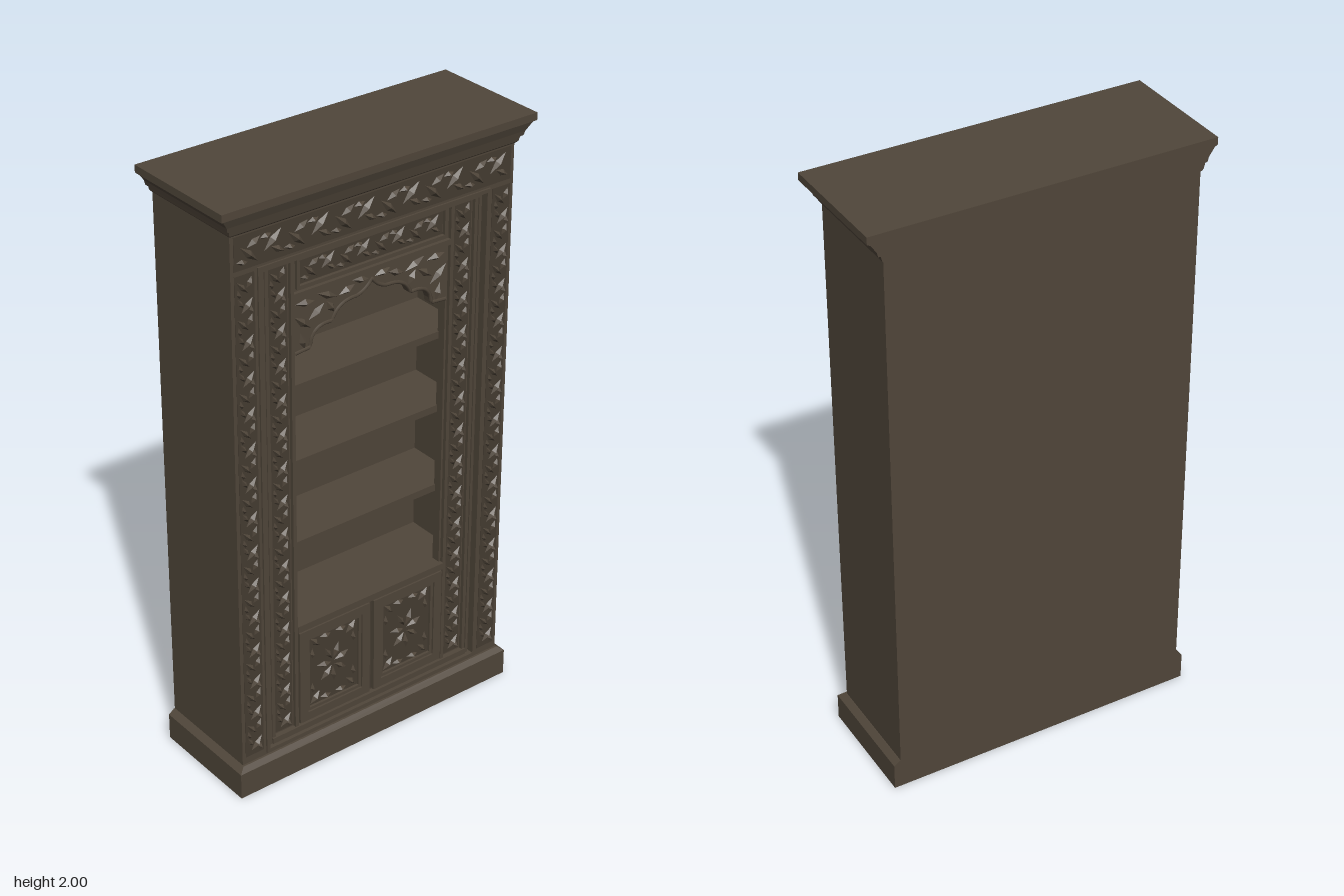
import * as THREE from 'three';
import { mergeGeometries } from 'three/addons/utils/BufferGeometryUtils.js';

const wood = new THREE.MeshStandardMaterial({ color: 0x50463a });
wood.name = 'dark wood';
const shade = new THREE.MeshStandardMaterial({ color: 0x453c31 });
shade.name = 'carved ground';

// Built with the carved face towards +z, then turned to face +x.
export function createModel() {
  const root = new THREE.Group();
  root.name = 'carvedBookcase';
  const g = new THREE.Group();
  g.name = 'cabinet';
  g.rotation.y = Math.PI / 2;
  root.add(g);

  const add = (name, geo, mat = wood) => {
    const m = new THREE.Mesh(geo, mat);
    m.name = name;
    g.add(m);
    return m;
  };
  // Box given by its limits
  const box = (name, x0, x1, y0, y1, z0, z1, mat) => {
    const b = new THREE.BoxGeometry(x1 - x0, y1 - y0, z1 - z0);
    b.translate((x0 + x1) / 2, (y0 + y1) / 2, (z0 + z1) / 2);
    return add(name, b, mat);
  };
  const rect = (x0, x1, y0, y1, C = THREE.Shape) => {
    const s = new C();
    s.moveTo(x0, y0); s.lineTo(x1, y0); s.lineTo(x1, y1); s.lineTo(x0, y1); s.closePath();
    return s;
  };
  const plate = (name, shape, z0, z1, mat) => {
    const e = new THREE.ExtrudeGeometry(shape, { depth: z1 - z0, bevelEnabled: false, curveSegments: 8 });
    e.translate(0, 0, z0);
    return add(name, e, mat);
  };
  // Rectangular border of width w
  const border = (name, x0, x1, y0, y1, w, z0, z1, mat) => {
    const s = rect(x0, x1, y0, y1);
    s.holes.push(rect(x0 + w, x1 - w, y0 + w, y1 - w, THREE.Path));
    return plate(name, s, z0, z1, mat);
  };
  // Stack of rectangles [y, half width, front], flush at the back
  const stack = (name, levels, back) => {
    const v = [];
    const quad = (a, b, c, d) => v.push(...a, ...b, ...c, ...a, ...c, ...d);
    const loops = levels.map(([y, h, f]) => [[-h, y, f], [h, y, f], [h, y, back], [-h, y, back]]);
    for (let i = 0; i + 1 < loops.length; i++) {
      const a = loops[i], b = loops[i + 1];
      for (let k = 0; k < 4; k++) { const n = (k + 1) % 4; quad(a[k], a[n], b[n], b[k]); }
    }
    quad(...loops[loops.length - 1]);
    quad(...[...loops[0]].reverse());
    const geo = new THREE.BufferGeometry();
    geo.setAttribute('position', new THREE.Float32BufferAttribute(v, 3));
    geo.computeVertexNormals();
    return add(name, geo);
  };

  // Plinth and cornice
  stack('plinth', [[0, 0.535, 0.19], [0.09, 0.535, 0.19], [0.105, 0.515, 0.175]], -0.2);
  stack('cornice', [[1.905, 0.512, 0.17], [1.912, 0.518, 0.178], [1.928, 0.522, 0.182], [1.93, 0.53, 0.186],
    [1.945, 0.534, 0.19], [1.972, 0.553, 0.2], [1.976, 0.5625, 0.207], [2, 0.5625, 0.207]], -0.207);

  // Carcass around the shelf space
  box('backBoard', -0.512, 0.512, 0.1, 1.91, -0.2, -0.09);
  for (const s of [-1, 1]) {
    const a = 0.37 * s, b = 0.512 * s;
    box('sideWall', Math.min(a, b), Math.max(a, b), 0.1, 1.91, -0.09, 0.126);
  }
  box('lowerCupboard', -0.37, 0.37, 0.1, 0.515, -0.09, 0.126);
  box('topBlock', -0.37, 0.37, 1.66, 1.91, -0.09, 0.126);
  for (const y of [0.785, 1.07, 1.325]) box('shelf', -0.37, 0.37, y - 0.012, y + 0.012, -0.09, 0.12);

  // Outer frame and the mouldings inside it
  const outer = rect(-0.512, 0.512, 0.1, 1.91);
  outer.holes.push(rect(-0.415, 0.415, 0.12, 1.78, THREE.Path));
  plate('outerFrame', outer, 0.126, 0.168);
  border('outerBead', -0.422, 0.422, 0.113, 1.787, 0.012, 0.14, 0.174);
  border('innerBead', -0.402, 0.402, 0.125, 1.77, 0.01, 0.126, 0.158);

  // Inner frame with a cusped arch opening
  const inner = rect(-0.415, 0.415, 0.11, 1.785);
  const arch = new THREE.Path();
  arch.moveTo(-0.28, 0.52);
  arch.lineTo(0.28, 0.52);
  arch.lineTo(0.28, 1.455);
  arch.lineTo(0.225, 1.46);
  arch.quadraticCurveTo(0.22, 1.53, 0.145, 1.52);
  arch.quadraticCurveTo(0.125, 1.575, 0.055, 1.572);
  arch.quadraticCurveTo(0.02, 1.58, 0, 1.61);
  arch.quadraticCurveTo(-0.02, 1.58, -0.055, 1.572);
  arch.quadraticCurveTo(-0.125, 1.575, -0.145, 1.52);
  arch.quadraticCurveTo(-0.22, 1.53, -0.225, 1.46);
  arch.lineTo(-0.28, 1.455);
  arch.closePath();
  inner.holes.push(arch);
  plate('innerFrame', inner, 0.115, 0.145);

  // Raised edge following the arch
  const edgePts = arch.getPoints(8).filter(p => p.y > 1.452).map(p => new THREE.Vector3(p.x, p.y + 0.004, 0.146));
  const edge = new THREE.CurvePath();
  for (let i = 0; i + 1 < edgePts.length; i++) edge.add(new THREE.LineCurve3(edgePts[i], edgePts[i + 1]));
  add('archEdge', new THREE.TubeGeometry(edge, 80, 0.006, 5));

  // Upright beads, rails and the panel above the arch
  for (const s of [-1, 1]) for (const x of [0.293, 0.383]) {
    box('uprightBead', s * x - 0.006, s * x + 0.006, 0.135, 1.76, 0.145, 0.157);
  }
  box('archRail', -0.287, 0.287, 1.638, 1.656, 0.145, 0.157);
  box('sillRail', -0.287, 0.287, 0.497, 0.52, 0.12, 0.16);
  box('footRail', -0.39, 0.39, 0.125, 0.145, 0.145, 0.162);
  border('topPanelFrame', -0.275, 0.275, 1.665, 1.765, 0.01, 0.145, 0.155);

  // Low relief leaf: a flat four-sided pyramid
  const leaf = (x, y, len, w, angle, z) => {
    const c = new THREE.ConeGeometry(1, 1, 4, 1, true);
    c.rotateX(Math.PI / 2);
    c.translate(0, 0, 0.5);
    c.scale(len / 2, w / 2, 0.014);
    c.rotateZ(angle);
    c.translate(x, y, z);
    return c.toNonIndexed();
  };
  const carve = (name, leaves) => {
    const geo = mergeGeometries(leaves);
    geo.computeVertexNormals();
    add(name, geo);
  };
  // Winding row of leaves along a strip
  const vine = (name, x0, y0, x1, y1, width, z) => {
    const dx = x1 - x0, dy = y1 - y0, L = Math.hypot(dx, dy), a = Math.atan2(dy, dx);
    const n = Math.round(L / (width * 0.9)), out = [];
    const put = (t, off, len, w, turn) => out.push(leaf(x0 + dx * t - Math.sin(a) * off, y0 + dy * t + Math.cos(a) * off, len, w, a + turn, z));
    for (let i = 0; i < n; i++) {
      const t = (i + 0.5) / n, s = i % 2 ? 1 : -1;
      put(t, s * width * 0.12, width * 0.95, width * 0.28, s * 0.75);
      put(t + 0.2 / n, -s * width * 0.25, width * 0.6, width * 0.24, -s * 0.5);
      put(t - 0.3 / n, s * width * 0.32, width * 0.45, width * 0.2, s * 0.15);
    }
    carve(name, out);
  };
  for (const s of [-1, 1]) {
    box('outerStripGround', s * 0.466 - 0.034, s * 0.466 + 0.034, 0.13, 1.78, 0.165, 0.1695, shade);
    vine('outerStripCarving', s * 0.466, 0.14, s * 0.466, 1.77, 0.064, 0.169);
    box('innerStripGround', s * 0.338 - 0.034, s * 0.338 + 0.034, 0.15, 1.755, 0.142, 0.1465, shade);
    vine('innerStripCarving', s * 0.338, 0.155, s * 0.338, 1.75, 0.064, 0.146);
  }
  box('friezeGround', -0.5, 0.5, 1.795, 1.9, 0.165, 0.1695, shade);
  vine('friezeCarving', -0.49, 1.847, 0.49, 1.847, 0.09, 0.169);
  box('topPanelGround', -0.263, 0.263, 1.677, 1.753, 0.142, 0.1465, shade);
  vine('topPanelCarving', -0.255, 1.715, 0.255, 1.715, 0.07, 0.146);

  // Leaves in the corners above the arch
  const corner = [];
  for (const s of [-1, 1]) for (const [x, y, len, a] of [[0.25, 1.49, 0.06, 1.3], [0.25, 1.55, 0.08, 0.7],
    [0.2, 1.57, 0.07, -0.6], [0.24, 1.61, 0.07, 0.1], [0.16, 1.61, 0.08, 0.4], [0.15, 1.57, 0.05, 1],
    [0.09, 1.605, 0.06, -0.3], [0.04, 1.622, 0.06, 0.2]]) {
    corner.push(leaf(s * x, y, len, 0.024, s * a, 0.145));
  }
  carve('archCarving', corner);

  // Cupboard doors with a framed spray of leaves
  for (const s of [-1, 1]) {
    const c = s * 0.145;
    border('doorFrame', c - 0.137, c + 0.137, 0.152, 0.492, 0.03, 0.145, 0.16);
    border('doorBead', c - 0.106, c + 0.106, 0.183, 0.461, 0.01, 0.145, 0.155);
    box('doorGround', c - 0.096, c + 0.096, 0.193, 0.451, 0.142, 0.1465, shade);
    const spray = [];
    for (let i = 0; i < 7; i++) {
      const a = i * Math.PI * 2 / 7 + 0.3;
      spray.push(leaf(c + Math.cos(a) * 0.035, 0.322 + Math.sin(a) * 0.045, 0.06, 0.02, a, 0.146));
    }
    for (const u of [-1, 1]) for (const v of [-1, 1]) {
      spray.push(leaf(c + u * 0.07, 0.322 + v * 0.105, 0.055, 0.022, u * v * 0.8, 0.146));
      spray.push(leaf(c + u * 0.08, 0.322 + v * 0.065, 0.04, 0.016, 1.57, 0.146));
      spray.push(leaf(c + u * 0.03, 0.322 + v * 0.115, 0.045, 0.016, 0, 0.146));
    }
    carve('doorCarving', spray);
  }
  box('doorGap', -0.006, 0.006, 0.152, 0.492, 0.142, 0.148, shade);
  return root;
}
